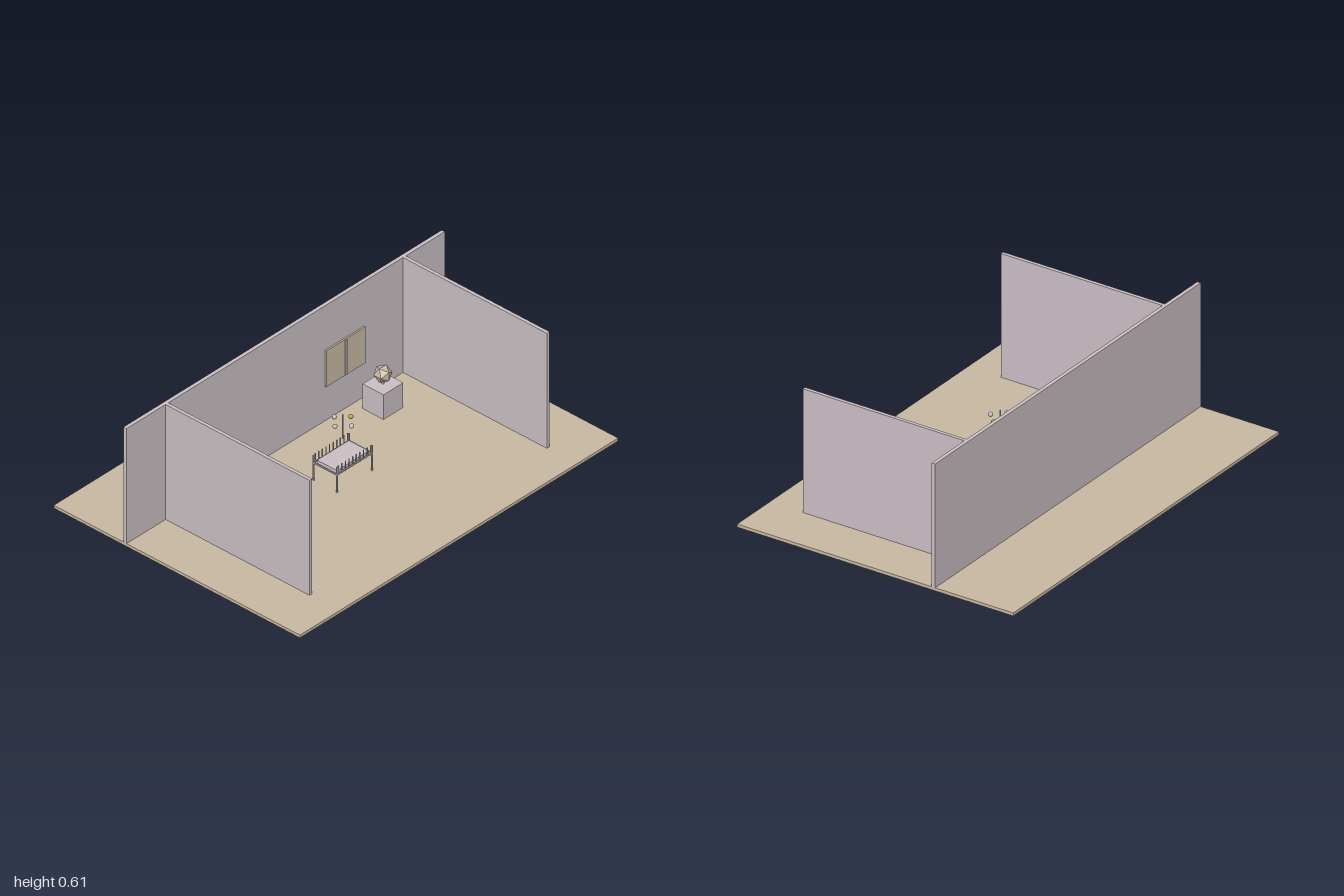
import * as THREE from 'three';

function material(name, color, flat = false) {
  const m = new THREE.MeshStandardMaterial({ color, flatShading: flat });
  m.name = name;
  return m;
}

export function createModel() {
  const room = new THREE.Group();
  room.name = 'nursery';
  const tan = material('tan', 0xc9b9a2);
  const mauve = material('paleMauve', 0xcabfc4);
  const gold = material('gold', 0xc69c4c);

  function add(name, geometry, mat, x, y, z, parent = room) {
    const mesh = new THREE.Mesh(geometry, mat);
    mesh.name = name;
    mesh.position.set(x, y, z);
    parent.add(mesh);
    return mesh;
  }
  // Box given by its min and max on each axis
  function box(name, mat, [x0, x1], [y0, y1], [z0, z1], parent = room) {
    return add(name, new THREE.BoxGeometry(x1 - x0, y1 - y0, z1 - z0), mat,
      (x0 + x1) / 2, (y0 + y1) / 2, (z0 + z1) / 2, parent);
  }
  function group(name) {
    const g = new THREE.Group();
    g.name = name;
    room.add(g);
    return g;
  }

  // Floor and walls
  const floorY = 0.015;
  box('floor', tan, [-1, 1], [0, floorY], [-0.714, 0.714]);
  box('backWall', mauve, [-1, 1], [floorY, 0.612], [-0.31, -0.292]);
  for (const s of [-1, 1]) {
    const x = s * 0.746;
    box('sideWall', mauve, [x - 0.0085, x + 0.0085], [floorY, 0.612], [-0.292, 0.543]);
  }

  // Dresser with a gold front panel
  const dresser = group('dresser');
  box('dresserBody', tan, [-0.54, -0.379], [floorY, 0.155], [-0.243, -0.166], dresser);
  box('dresserFront', gold, [-0.538, -0.381], [0.02, 0.151], [-0.166, -0.156], dresser);

  // Window with a centre mullion
  const win = group('window');
  box('windowPanel', tan, [0.247, 0.493], [0.194, 0.381], [-0.292, -0.284], win);
  box('windowMullion', mauve, [0.364, 0.376], [0.198, 0.377], [-0.284, -0.278], win);

  // Side table with a faceted lamp
  const table = group('sideTable');
  box('tableBody', mauve, [0.423, 0.547], [floorY, 0.143], [-0.236, -0.115], table);
  add('lampStem', new THREE.CylinderGeometry(0.006, 0.006, 0.025, 8), tan, 0.485, 0.155, -0.176, table);
  const facetedTan = material('facetedTan', 0xc9b9a2, true);
  add('lampShade', new THREE.IcosahedronGeometry(0.042, 0), facetedTan, 0.485, 0.193, -0.176, table);

  // Crib: mattress, corner posts, rails and bars
  const crib = group('crib');
  const cz = 0.04, hx = 0.111, hz = 0.067;
  box('mattress', mauve, [-0.1, 0.1], [0.099, 0.118], [cz - 0.058, cz + 0.058], crib);
  const bar = new THREE.BoxGeometry(0.004, 0.05, 0.004);
  for (const s of [-1, 1]) {
    for (const t of [-1, 1]) {
      add('cribPost', new THREE.BoxGeometry(0.006, 0.13, 0.006), mauve,
        s * hx, floorY + 0.065, cz + t * hz, crib);
    }
    add('longRail', new THREE.BoxGeometry(2 * hx, 0.006, 0.006), mauve, 0, 0.106, cz + s * hz, crib);
    add('shortRail', new THREE.BoxGeometry(0.006, 0.006, 2 * hz), mauve, s * hx, 0.106, cz, crib);
    for (let i = 0; i < 10; i++) {
      add('cribBar', bar, mauve, -0.102 + i * 0.0227, 0.125, cz + s * hz, crib);
    }
  }

  // Hanging mobile above the crib
  const mobile = group('mobile');
  add('mobileRod', new THREE.CylinderGeometry(0.003, 0.003, 0.125, 8), mauve, 0, 0.268, cz, mobile);
  const colors = [gold, mauve, tan, mauve];
  const bead = new THREE.SphereGeometry(0.011, 10, 8);
  colors.forEach((mat, i) => {
    const a = i * Math.PI / 2;
    add('mobileBead', bead, mat, 0.05 * Math.cos(a), 0.295, cz + 0.05 * Math.sin(a), mobile);
  });

  return room;
}
